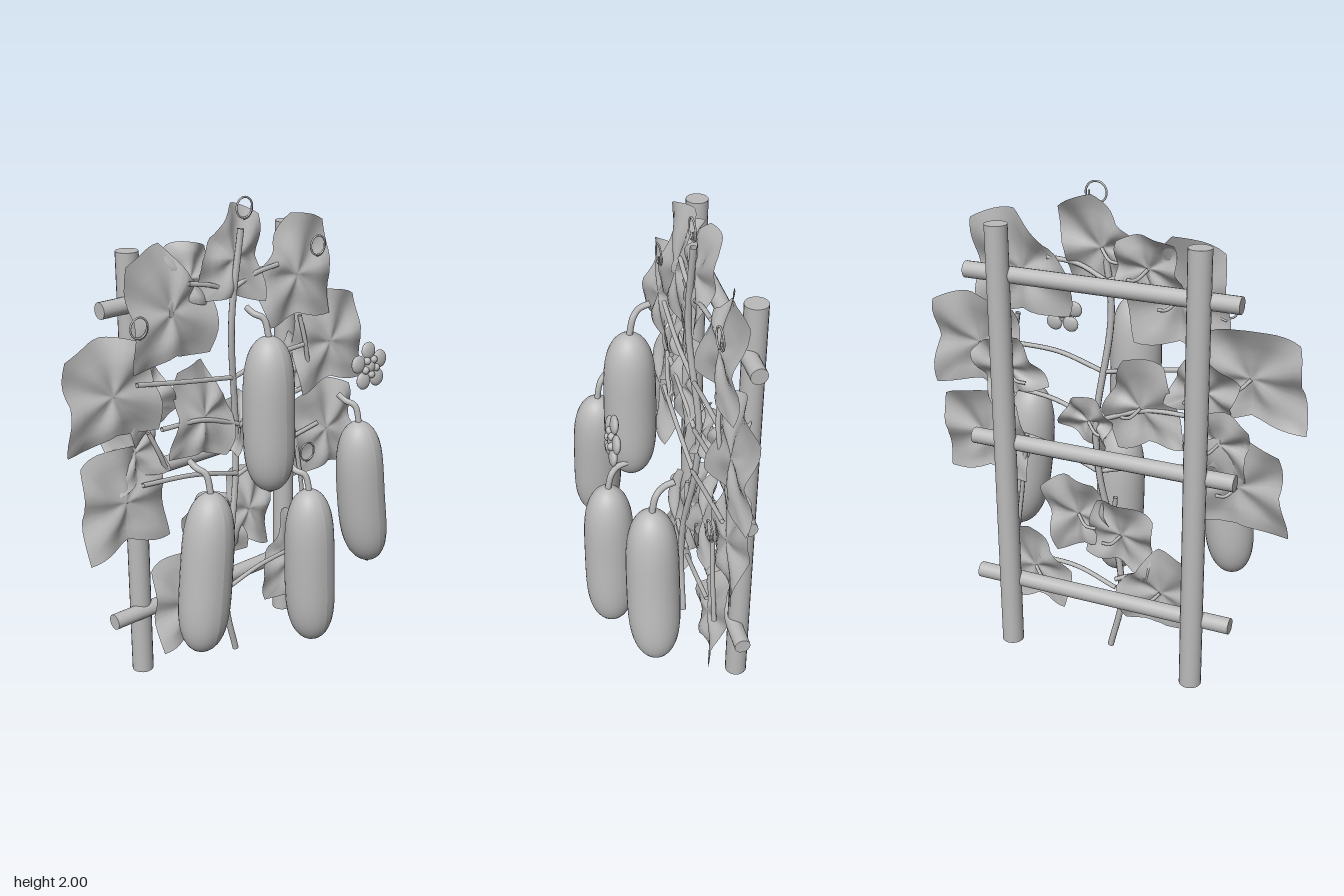
import * as THREE from 'three';

const grey = new THREE.MeshStandardMaterial({ color: 0xbbbbbb, side: THREE.DoubleSide });
grey.name = 'matte grey';

export function createModel() {
  const model = new THREE.Group();
  model.name = 'climbingPlantOnTrellis';

  const add = (name, geometry, parent) => {
    const mesh = new THREE.Mesh(geometry, grey);
    mesh.name = name;
    parent.add(mesh);
    return mesh;
  };
  const group = (name) => {
    const g = new THREE.Group();
    g.name = name;
    model.add(g);
    return g;
  };
  const tube = (name, points, radius, parent) => {
    const curve = new THREE.CatmullRomCurve3(points.map((p) => new THREE.Vector3(...p)));
    return add(name, new THREE.TubeGeometry(curve, points.length * 6, radius, 7), parent);
  };

  // Trellis: two posts with three rungs in front of them
  const trellis = group('trellis');
  for (const x of [-0.4, 0.41]) {
    add('post', new THREE.CylinderGeometry(0.045, 0.045, 1.82, 20), trellis).position.set(x, 0.92, -0.272);
  }
  for (const y of [0.3, 0.93, 1.63]) {
    const rung = add('rung', new THREE.CylinderGeometry(0.033, 0.033, 1.115, 16), trellis);
    rung.rotation.z = Math.PI / 2;
    rung.position.set(0.005, y, -0.247);
  }

  // Main vine, and side shoots given as start, end and rise at the middle
  const vines = group('vines');
  tube('mainVine', [[0.01, 0, -0.14], [-0.04, 0.23, -0.14], [-0.02, 0.48, -0.14], [0.04, 0.8, -0.17],
    [0.05, 1.05, -0.18], [0, 1.5, -0.14], [0.05, 1.87, -0.14]], 0.014, vines);
  const shoots = [
    [0, 1.62, 0.26, 1.69, 0.02], [0.02, 1.62, -0.2, 1.69, 0.01],
    [0.02, 1.26, -0.46, 1.34, 0], [0.03, 1.26, 0.42, 1.32, 0.02],
    [0.05, 1.05, -0.35, 1.13, 0.03], [0.05, 1.04, 0.46, 1.13, 0.02],
    [0.04, 0.83, -0.45, 0.92, 0.02], [0.04, 0.82, 0.5, 0.94, 0.02],
    [-0.02, 0.34, -0.17, 0.38, 0.01], [-0.02, 0.3, 0.33, 0.37, 0.02],
    [0.37, 0.93, 0.45, 0.36, 0], [-0.41, 1.13, -0.33, 0.95, 0],
    [0.39, 1.45, 0.44, 1.22, 0], [0, 0.52, -0.02, 0.72, 0],
  ];
  for (const [x0, y0, x1, y1, rise] of shoots) {
    tube('sideShoot', [[x0, y0, -0.16], [(x0 + x1) / 2, (y0 + y1) / 2 + rise, -0.15], [x1, y1, -0.155]], 0.01, vines);
  }

  // Leaf: unit lobed outline from eight radii (east, then counter-clockwise), puckered along
  // veins, with the tip leaning back and the base forward
  const leaves = group('leaves');
  const pointed = [0.72, 0.92, 0.86, 0.94, 0.68, 1.1, 0.6, 1.04];
  const necked = [0.82, 0.58, 0.92, 1.02, 0.7, 1.06, 0.6, 0.98];
  function leafGeometry(lobes, phase) {
    const N = 48, R = 6, pos = [0, 0, 0], index = [];
    const corner = (i) => {
      const a = (i * Math.PI) / 4;
      return new THREE.Vector2(Math.cos(a), Math.sin(a)).multiplyScalar(lobes[i % 8]);
    };
    for (let k = 1; k <= R; k++) {
      for (let j = 0; j < N; j++) {
        const t = k / R, i = Math.floor(j / 6), f = (j % 6) / 6;
        const edge = corner(i).lerp(corner(i + 1), f).multiplyScalar(t * (1 + 0.2 * f * (1 - f)));
        const a = edge.angle();
        const fold = 0.02 * t * Math.cos(a * 5 + phase);
        const ripple = 0.01 * t * Math.sin(t * 6 + a * 2 + phase);
        pos.push(edge.x, edge.y, fold + ripple - 0.04 * edge.y - 0.015 * t * t);
      }
    }
    for (let j = 0; j < N; j++) {
      const n = (j + 1) % N;
      index.push(0, 1 + j, 1 + n);
      for (let k = 0; k < R - 1; k++) {
        const a = 1 + k * N + j, b = 1 + k * N + n;
        index.push(a, a + N, b + N, a, b + N, b);
      }
    }
    const g = new THREE.BufferGeometry();
    g.setAttribute('position', new THREE.Float32BufferAttribute(pos, 3));
    g.setIndex(index);
    g.computeVertexNormals();
    return g;
  }
  // Each leaf: x, y, half width (negative mirrors it), half height, turn
  const neckedLeaves = [
    [0.03, 1.75, -0.2, 0.23, -0.1], [-0.28, 1.59, 0.26, 0.28, 0],
    [0.37, 1.63, -0.26, 0.27, 0], [-0.22, 0.32, 0.23, 0.24, 0],
    [0.35, 0.32, -0.2, 0.24, 0], [-0.13, 1.13, 0.2, 0.24, -0.2],
  ];
  const pointedLeaves = [
    [-0.17, 1.7, 0.17, 0.16, 0], [-0.57, 1.32, 0.28, 0.25, 0], [0.57, 1.3, -0.27, 0.26, 0],
    [-0.53, 0.87, 0.26, 0.26, 0], [0.56, 0.9, -0.25, 0.25, 0],
    [-0.06, 0.57, 0.19, 0.2, 0.2], [0.13, 0.63, -0.18, 0.22, -0.2],
    [0.08, 1.05, 0.14, 0.13, 0.5], [-0.4, 1.25, 0.17, 0.17, 0.4],
    [0.43, 1.22, -0.17, 0.17, -0.4], [-0.46, 1.05, 0.17, 0.17, 0.2],
  ];
  const addLeaf = (lobes) => ([x, y, w, h, turn], i) => {
    const z = h > 0.22 ? -0.155 : -0.185, side = Math.sign(x);
    const leaf = add('leaf', leafGeometry(lobes, i * 1.7), leaves);
    leaf.position.set(x, y, z);
    leaf.scale.set(w, h, 1);
    leaf.rotation.z = turn;
    tube('leafStalk', [[x, y, z - 0.004], [x - side * 0.04, y - 0.04, z - 0.02],
      [x - side * 0.08, y - 0.05, z - 0.01]], 0.007, leaves);
  };
  neckedLeaves.forEach(addLeaf(necked));
  pointedLeaves.forEach(addLeaf(pointed));

  // Hanging fruits: rounded lathe bodies, leaned and bowed, with a bent stalk
  const fruits = group('fruits');
  function fruit(xTop, xBottom, yTop, yBottom, z, bow, [sx, sy, sz]) {
    const h = yTop - yBottom, profile = [];
    for (let i = 0; i <= 32; i++) {
      const u = (1 - Math.cos((i / 32) * Math.PI)) / 2;
      const r = 0.105 * Math.sqrt(Math.max(0, 1 - Math.abs(2 * u - 1) ** 4)) * (1.01 - 0.04 * u);
      profile.push(new THREE.Vector2(r, yBottom + h * u));
    }
    const g = new THREE.LatheGeometry(profile, 28), p = g.attributes.position;
    for (let i = 0; i < p.count; i++) {
      const u = (p.getY(i) - yBottom) / h;
      p.setX(i, p.getX(i) + THREE.MathUtils.lerp(xBottom, xTop, u) + bow * Math.sin(u * Math.PI));
      p.setZ(i, p.getZ(i) + z);
    }
    g.computeVertexNormals();
    add('fruitBody', g, fruits);
    tube('fruitStalk', [[xTop, yTop - 0.015, z], [xTop + (sx - xTop) * 0.3, (yTop + sy * 2) / 3, z - 0.02],
      [sx, sy - 0.015, sz + 0.04], [sx, sy, sz]], 0.013, fruits);
    add('blossomScar', new THREE.SphereGeometry(0.013, 10, 8), fruits).position.set(xBottom, yBottom + 0.002, z);
  }
  fruit(-0.005, 0.005, 1.5, 0.85, 0.09, -0.005, [-0.04, 1.6, 0]);
  fruit(0.485, 0.565, 1.03, 0.355, 0.115, -0.015, [0.455, 1.13, 0.02]);
  fruit(-0.36, -0.42, 0.97, 0.305, 0.16, 0, [-0.39, 1.08, 0.07]);
  fruit(0.11, 0.135, 0.86, 0.165, 0.21, -0.005, [0.08, 0.95, 0.12]);

  // Blossom: five flat petals and stamens around a round centre
  const blossom = group('blossom');
  blossom.position.set(0.4, 1.325, 0.24);
  blossom.rotation.x = -0.12;
  add('blossomCentre', new THREE.SphereGeometry(0.028, 14, 10), blossom).scale.z = 0.7;
  for (let i = 0; i < 5; i++) {
    const a = Math.PI / 2 + (i * Math.PI * 2) / 5;
    const petal = add('petal', new THREE.SphereGeometry(1, 14, 10), blossom);
    petal.scale.set(0.036, 0.036, 0.015);
    petal.position.set(0.064 * Math.cos(a), 0.064 * Math.sin(a), 0);
    petal.rotation.z = a;
    const stamen = add('stamen', new THREE.SphereGeometry(0.016, 10, 8), blossom);
    stamen.position.set(0.032 * Math.cos(a + 0.63), 0.032 * Math.sin(a + 0.63), 0.008);
  }

  // Tendrils: thin open coils
  const tendrils = group('tendrils');
  for (const [x, y] of [[0.06, 1.95], [-0.46, 1.57], [0.46, 1.74], [0.42, 0.83]]) {
    const points = [];
    for (let i = 0; i <= 16; i++) {
      const a = -Math.PI / 2 + i * 0.5, r = 0.046 - i * 0.0007;
      points.push([x + r * Math.cos(a), y + r * Math.sin(a), -0.135 + i * 0.0006]);
    }
    tube('tendril', points, 0.004, tendrils);
  }

  return model;
}
